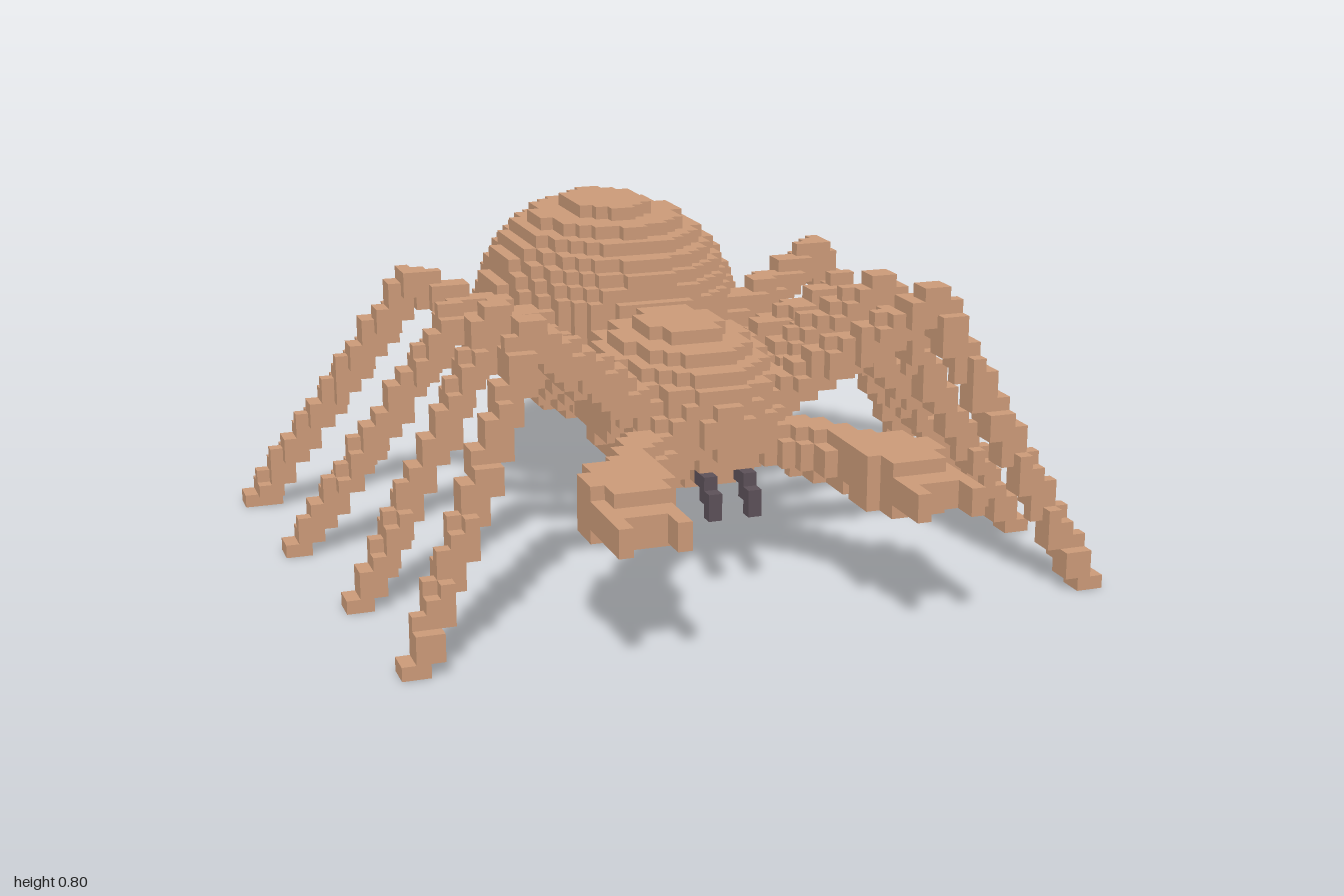
import * as THREE from 'three';

const V = 1 / 30; // voxel size
const v3 = (p) => new THREE.Vector3(...p);

// Shape tests: each returns true when a voxel centre lies inside
const ellipsoid = (c, r) => (p) =>
  ((p.x - c[0]) / r[0]) ** 2 + ((p.y - c[1]) / r[1]) ** 2 + ((p.z - c[2]) / r[2]) ** 2 < 1;

const box = (a, b) => (p) =>
  p.x > a[0] && p.x < b[0] && p.y > a[1] && p.y < b[1] && p.z > a[2] && p.z < b[2];

// Tapered limb through a chain of points [x, y, z, radius]
const limb = (pts) => {
  const segs = pts.slice(1).map((b, i) => {
    const a = pts[i];
    return { line: new THREE.Line3(v3(a.slice(0, 3)), v3(b.slice(0, 3))), ra: a[3], rb: b[3] };
  });
  const q = new THREE.Vector3();
  return (p) => segs.some(({ line, ra, rb }) => {
    const t = line.closestPointToPointParameter(p, true);
    return line.at(t, q).distanceTo(p) < ra + (rb - ra) * t;
  });
};

const anyOf = (...tests) => (p) => tests.some((t) => t(p));

// Six cube faces: outward normal and two tangents with u x v = n
const FACES = [];
for (let a = 0; a < 3; a++) for (const s of [1, -1]) {
  const n = [0, 0, 0], u = [0, 0, 0], w = [0, 0, 0];
  n[a] = s; u[(a + 1) % 3] = 1; w[(a + 2) % 3] = s;
  FACES.push([n, u, w]);
}

export function createModel() {
  const group = new THREE.Group();
  const tan = new THREE.MeshStandardMaterial({ color: 0xcb9a78 });
  tan.name = 'tan';
  const dark = new THREE.MeshStandardMaterial({ color: 0x5c5058 });
  dark.name = 'dark grey';

  const parts = [
    { name: 'abdomen', test: ellipsoid([0, 0.5, -0.5], [0.337, 0.302, 0.45]) },
    { name: 'thorax', test: ellipsoid([0, 0.4, 0.1], [0.24, 0.2, 0.37]) },
  ];

  // Paired parts, described on the +x side and mirrored
  const pair = (name, test, mat) => {
    for (const side of [1, -1]) {
      parts.push({ name: (side > 0 ? 'left' : 'right') + name, test, side, mat });
    }
  };

  // Legs: hip, knee, foot
  const legs = [
    [[0.15, 0.42, 0.29], [0.5, 0.69, 0.5], [0.835, 0.0, 0.71]],
    [[0.17, 0.42, 0.12], [0.5, 0.66, 0.2], [0.87, 0.0, 0.268]],
    [[0.17, 0.43, -0.05], [0.53, 0.58, -0.11], [0.935, 0.0, -0.17]],
    [[0.15, 0.45, -0.15], [0.57, 0.63, -0.38], [0.97, 0.0, -0.6]],
  ];
  legs.forEach(([h, k, f], i) => pair('Leg' + (i + 1),
    limb([[...h, 0.052], [...k, 0.044], [...f, 0.036]])));

  // Pincer arms with two-pronged tips
  pair('Pincer', anyOf(
    limb([[0.12, 0.35, 0.36, 0.06], [0.24, 0.335, 0.46, 0.062], [0.3, 0.335, 0.62, 0.068]]),
    box([0.23, 0.27, 0.63], [0.43, 0.4, 0.74]),
    box([0.26, 0.27, 0.56], [0.4, 0.4, 0.8]),
    box([0.265, 0.3, 0.74], [0.435, 0.37, 0.87]),
    box([0.265, 0.3, 0.86], [0.3, 0.37, 0.935]),
    box([0.4, 0.3, 0.86], [0.435, 0.37, 0.935])));

  // Stepped fangs
  pair('Fang', anyOf(
    box([0.033, 0.2, 0.465], [0.067, 0.267, 0.5]),
    box([0.033, 0.233, 0.432], [0.067, 0.3, 0.468]),
    box([0.033, 0.265, 0.398], [0.067, 0.335, 0.435])), dark);

  // Fill the grid; the first part to claim a voxel keeps it
  const owner = new Map();
  const key = (i, j, k) => (i + 50) * 10000 + (j + 5) * 100 + k + 50;
  const p = new THREE.Vector3();
  parts.forEach((part) => { part.cells = []; });
  for (let i = -30; i < 30; i++) for (let j = 0; j < 24; j++) for (let k = -28; k < 28; k++) {
    const x = (i + 0.5) * V;
    p.set(Math.abs(x), (j + 0.5) * V, (k + 0.5) * V);
    const part = parts.find((q) => !(q.side * x < 0) && q.test(p));
    if (!part) continue;
    part.cells.push([i, j, k]);
    owner.set(key(i, j, k), part);
  }

  // Build only the exposed cube faces of every part
  for (const part of parts) {
    const pos = [], nor = [], idx = [];
    for (const c of part.cells) for (const [n, u, w] of FACES) {
      if (owner.has(key(c[0] + n[0], c[1] + n[1], c[2] + n[2]))) continue;
      const b = pos.length / 3;
      for (const [s, t] of [[-1, -1], [1, -1], [1, 1], [-1, 1]]) {
        for (let a = 0; a < 3; a++) pos.push((c[a] + 0.5 + (n[a] + s * u[a] + t * w[a]) / 2) * V);
        nor.push(...n);
      }
      idx.push(b, b + 1, b + 2, b, b + 2, b + 3);
    }
    const geo = new THREE.BufferGeometry();
    geo.setAttribute('position', new THREE.Float32BufferAttribute(pos, 3));
    geo.setAttribute('normal', new THREE.Float32BufferAttribute(nor, 3));
    geo.setIndex(idx);
    const mesh = new THREE.Mesh(geo, part.mat || tan);
    mesh.name = part.name;
    group.add(mesh);
  }
  return group;
}
